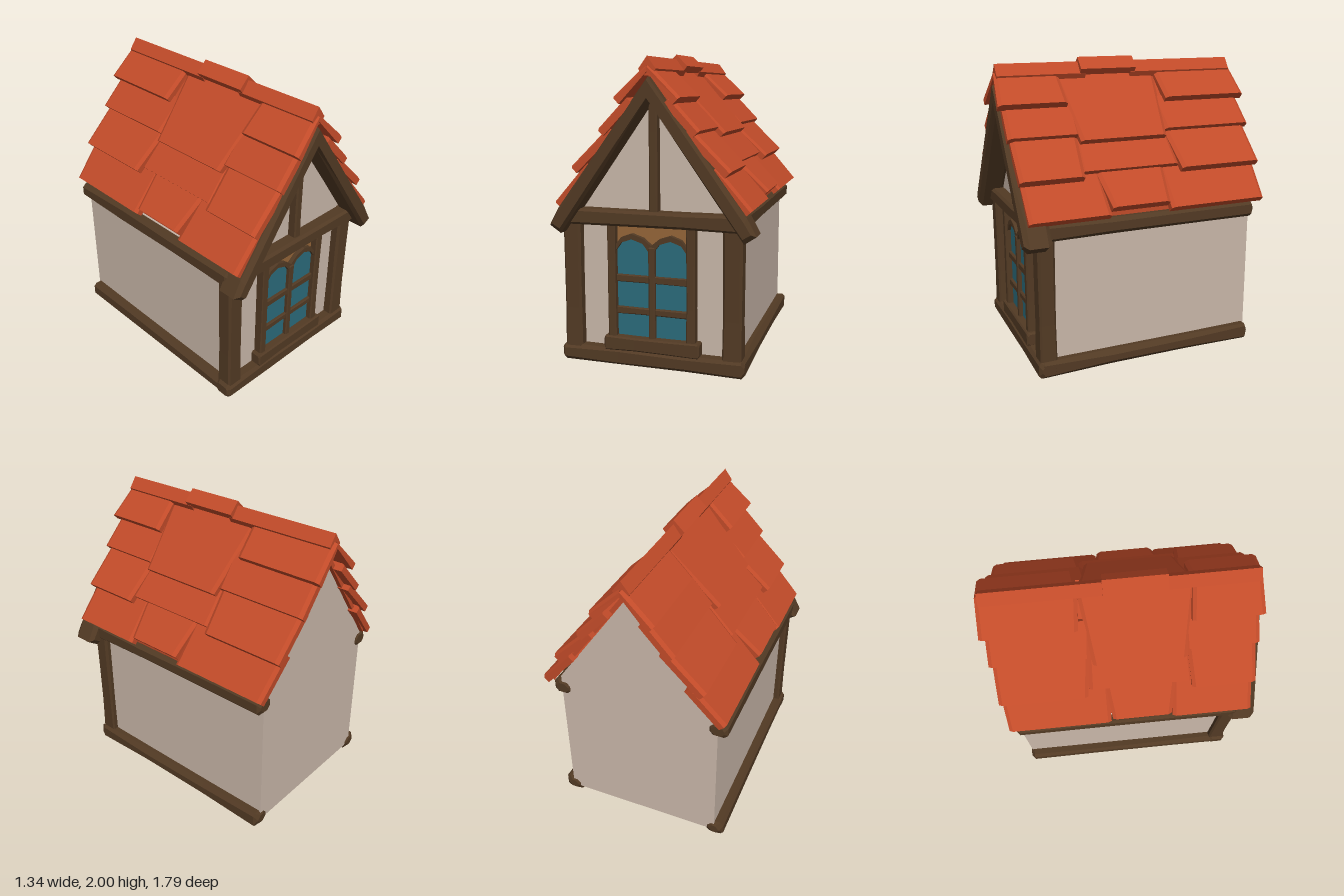
import * as THREE from 'three';

const mat = (color, extra = {}) => new THREE.MeshStandardMaterial({ color, flatShading: true, ...extra });

export function createModel() {
  const model = new THREE.Group();
  const wood = mat(0x523a24), plaster = mat(0xc9b7a9), clay = mat(0xc24b29);
  const glass = mat(0x2b6b7b), board = mat(0x946538);
  let seed = 7;
  const rand = () => ((seed = (seed * 16807) % 2147483647) / 2147483647) * 2 - 1;

  const add = (name, geometry, material) => {
    const mesh = new THREE.Mesh(geometry, material);
    mesh.name = name;
    model.add(mesh);
    return mesh;
  };

  // Skin over a row of equal loops (counter-clockwise seen from the last one), capped at both ends
  const skin = (loops) => {
    const n = loops[0].length, pos = [], last = loops[loops.length - 1];
    const tri = (...p) => p.forEach((v) => pos.push(...v));
    for (let i = 0; i < loops.length - 1; i++) {
      for (let j = 0; j < n; j++) {
        const k = (j + 1) % n, A = loops[i], B = loops[i + 1];
        tri(A[j], A[k], B[k]);
        tri(A[j], B[k], B[j]);
      }
    }
    for (let j = 1; j < n - 1; j++) {
      tri(last[0], last[j], last[j + 1]);
      tri(loops[0][0], loops[0][j + 1], loops[0][j]);
    }
    const g = new THREE.BufferGeometry();
    g.setAttribute('position', new THREE.Float32BufferAttribute(pos, 3));
    g.computeVertexNormals();
    return g;
  };

  // Rough-hewn chamfered beam filling a box, running along axis 0, 1 or 2
  const beam = (name, min, max, axis, bevel = 0.015) => {
    const u = (axis + 1) % 3, v = (axis + 2) % 3;
    const mid = min.map((m, i) => (m + max[i]) / 2), half = min.map((m, i) => (max[i] - m) / 2);
    const len = half[axis] * 2;
    const stations = [0, bevel, len * 0.32, len * 0.68, len - bevel, len];
    const loops = stations.map((s, i) => {
      const end = i === 0 || i === 5;
      const a = half[u] - (end ? bevel : 0), b = half[v] - (end ? bevel : 0);
      const c = Math.max(bevel * (1 + 0.4 * rand()), 0.003);
      const shrink = i === 2 || i === 3 ? 0.96 + 0.03 * rand() : 1;
      return [[a, c - b], [a, b - c], [a - c, b], [c - a, b], [-a, b - c], [-a, c - b], [c - a, -b], [a - c, -b]]
        .map(([p, q]) => {
          const pt = [0, 0, 0];
          pt[axis] = min[axis] + s;
          pt[u] = mid[u] + p * shrink;
          pt[v] = mid[v] + q * shrink;
          return pt;
        });
    });
    return add(name, skin(loops), wood);
  };

  const poly = (pts) => new THREE.Shape(pts.map(([x, y]) => new THREE.Vector2(x, y)));
  const slab = (name, shape, z0, z1, material) => {
    const g = new THREE.ExtrudeGeometry(shape, { depth: z1 - z0, bevelEnabled: false });
    return add(name, g.translate(0, 0, z0), material);
  };

  // Plastered house body with gables
  slab('walls', poly([[-0.575, 0.04], [0.53, 0.04], [0.53, 1.07], [0, 1.82], [-0.575, 1.03]]), -0.77, 0.71, plaster);

  // Timber frame
  beam('frontGroundBeam', [-0.64, 0, 0.66], [0.59, 0.11, 0.79], 0, 0.02);
  beam('frontTopBeam', [-0.58, 0.92, 0.66], [0.56, 1.025, 0.8], 0);
  for (const [side, x0, x1] of [['left', 0.46, 0.59], ['right', -0.64, -0.51]]) {
    beam(side + 'GroundBeam', [x0, 0, -0.78], [x1, 0.11, 0.78], 2, 0.025);
    beam(side + 'TopBeam', [x0, 0.92, -0.78], [x1, 1.03, 0.76], 2, 0.02);
  }
  beam('leftCornerPost', [0.445, 0.08, 0.66], [0.57, 0.95, 0.775], 1);
  beam('rightCornerPost', [-0.62, 0.08, 0.66], [-0.5, 0.95, 0.775], 1);
  beam('gableStud', [-0.03, 1, 0.69], [0.027, 1.76, 0.77], 1, 0.008);

  // Gable rafters
  for (const s of [1, -1]) {
    const pts = [[0, 1.71], [0.3, 1.285], [0.595, 0.87], [0.67, 0.92], [0.61, 1.03], [0.32, 1.42], [0, 1.85]];
    const inset = [[0, 1.725], [0.31, 1.3], [0.59, 0.905], [0.64, 0.935], [0.6, 1.0], [0.31, 1.405], [0, 1.83]];
    const ring = (list, z) => {
      const l = list.map(([x, y]) => [s * x, y, z]);
      return s > 0 ? l : l.reverse();
    };
    add(s > 0 ? 'leftRafter' : 'rightRafter',
      skin([ring(inset, 0.7), ring(pts, 0.73), ring(pts, 0.85), ring(inset, 0.88)]), wood);
  }

  // Double window door: posts, sill, board, arched panes, trims and bars
  beam('leftDoorPost', [0.21, 0.16, 0.69], [0.27, 0.94, 0.77], 1, 0.008);
  beam('rightDoorPost', [-0.315, 0.16, 0.69], [-0.26, 0.94, 0.77], 1, 0.008);
  beam('doorSill', [-0.34, 0.1, 0.69], [0.3, 0.195, 0.787], 0, 0.01);
  slab('doorBoard', poly([[-0.27, 0.15], [0.22, 0.15], [0.22, 0.93], [-0.27, 0.93]]), 0.69, 0.72, board);
  const inner = [[0.018, 0.18], [0.235, 0.18], [0.235, 0.76], [0.2, 0.81], [0.13, 0.835], [0.055, 0.81], [0.018, 0.76]];
  const archTop = [[0.235, 0.8], [0.2, 0.845], [0.13, 0.87], [0.055, 0.845], [0, 0.8]];
  for (const s of [1, -1]) {
    const side = s > 0 ? 'left' : 'right';
    const place = (list) => poly(list.map(([x, y]) => [s * x - 0.025, y]));
    slab(side + 'Pane', place(inner), 0.7, 0.728, glass);
    slab(side + 'ArchTrim', place([...archTop, [0, 0.74], ...inner.slice(2).reverse()]), 0.7, 0.75, wood);
  }
  beam('doorMullion', [-0.043, 0.18, 0.7], [0.001, 0.79, 0.757], 1, 0.006);
  for (const y of [0.34, 0.553]) beam('doorBar', [-0.265, y, 0.7], [0.215, y + 0.047, 0.748], 0, 0.006);

  // Roof deck under the tiles
  slab('roofDeck', poly([[0, 1.87], [-0.57, 1.08], [-0.57, 1.04], [0, 1.82], [0.57, 1.04], [0.57, 1.08]]), -0.8, 0.8, clay);

  // Tile: slope from [x, y] p0 to p1, with its z spans at the top and the bottom edge
  const tile = (s, p0, p1, [a0, a1], [b0, b1], t = 0.058) => {
    const dx = p1[0] - p0[0], dy = p1[1] - p0[1], l = Math.hypot(dx, dy);
    const nx = -dy / l, ny = dx / l;
    const q0 = [Math.max(p0[0] - nx * t, 0), p0[1] - ny * t], q1 = [p1[0] - nx * t, p1[1] - ny * t];
    const ring = (za, zb, bev) => {
      const loop = [[s * q0[0], q0[1], za], [s * q1[0], q1[1], zb],
        [s * (p1[0] - nx * bev), p1[1] - ny * bev, zb], [s * (p0[0] - nx * bev), p0[1] - ny * bev, za]];
      return s > 0 ? loop : loop.reverse();
    };
    const e = 0.025;
    add('roofTile', skin([ring(a0, b0, 0.015), ring(a0 + e, b0 + e, 0), ring(a1 - e, b1 - e, 0), ring(a1, b1, 0.015)]), clay);
  };

  // Outer rows: slope ends, then front and back column spans
  const outer = [
    { p0: [0.01, 1.92], p1: [0.21, 1.73], f: [[0.44, 0.87], [0.43, 0.895]], b: [[-0.88, -0.26], [-0.895, -0.28]] },
    { p0: [0.14, 1.73], p1: [0.325, 1.535], f: [[0.38, 0.86], [0.39, 0.87]], b: [[-0.86, -0.2], [-0.87, -0.22]] },
    { p0: [0.26, 1.55], p1: [0.515, 1.3], f: [[0.4, 0.85], [0.43, 0.855]], b: [[-0.85, -0.22], [-0.85, -0.26]] },
    { p0: [0.42, 1.32], p1: [0.64, 1.07], f: [[0.31, 0.84], [0.3, 0.84]], b: [[-0.84, -0.12], [-0.82, -0.12]] },
  ];
  // Lower-lying middle column
  const middle = [
    { p0: [0.01, 1.89], p1: [0.365, 1.5], z: [[-0.27, 0.46], [-0.21, 0.4]] },
    { p0: [0.29, 1.51], p1: [0.47, 1.32], z: [[-0.24, 0.42], [-0.25, 0.44]] },
    { p0: [0.4, 1.35], p1: [0.635, 1.115], z: [[-0.15, 0.34], [-0.11, 0.29]] },
  ];
  for (const s of [1, -1]) {
    for (const r of outer) for (const span of [r.f, r.b]) tile(s, r.p0, r.p1, span[0], span[1]);
    for (const r of middle) tile(s, r.p0, r.p1, r.z[0], r.z[1]);
  }

  // Ridge caps
  const cap = (z0, z1, top, w) => add('ridgeCap', skin([z0, z1].map((z) =>
    [[0, top, z], [-w, top - 0.075, z], [-w * 0.6, top - 0.115, z], [w * 0.6, top - 0.115, z], [w, top - 0.075, z]])), clay);
  cap(0.25, 0.86, 1.97, 0.055);
  cap(-0.86, -0.08, 1.97, 0.055);
  cap(-0.11, 0.29, 2, 0.075);

  return model;
}
